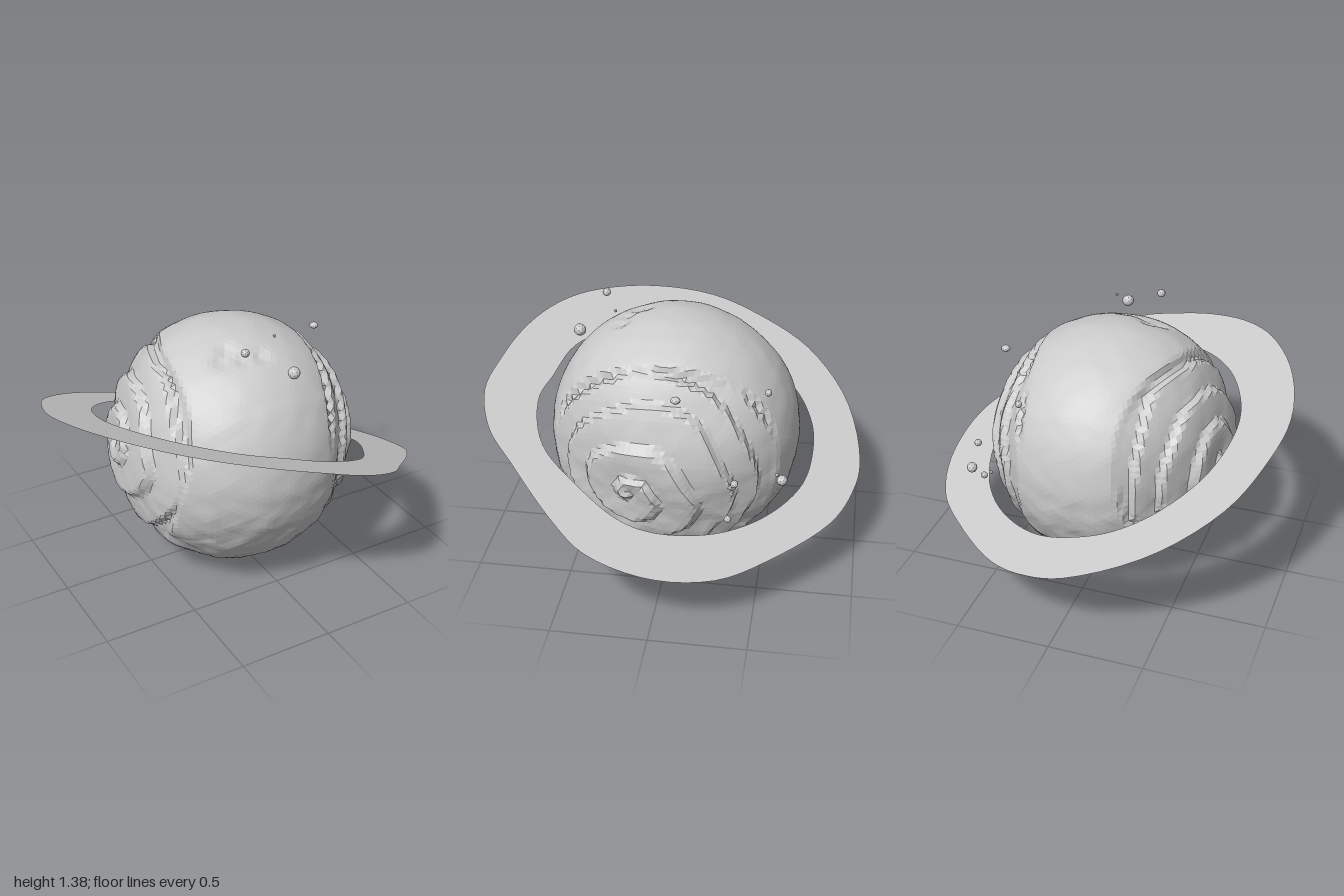
import * as THREE from 'three';
import { mergeVertices } from 'three/addons/utils/BufferGeometryUtils.js';

const stone = () => new THREE.MeshStandardMaterial({ color: 0xcccccc, flatShading: true });
const V = (x, y, z) => new THREE.Vector3(x, y, z);

// Smooth rock noise made from crossed sine waves, about -1..1
function noise(d, f) {
  return (Math.sin(f * d.x + 2.1 * Math.sin(f * 0.7 * d.y + 1)) +
    Math.sin(f * d.y * 1.1 + 1.7 * Math.sin(f * 0.8 * d.z + 2)) +
    Math.sin(f * d.z * 0.9 + 1.9 * Math.sin(f * 0.6 * d.x + 4))) / 3;
}

// A spiral of overlapping rock layers around an axis
function makeSwirl(axis, edge, sway, turn) {
  axis.normalize();
  const u = V(0, 1, 0).cross(axis).normalize();
  const v = axis.clone().cross(u);
  return d => {
    const theta = Math.acos(THREE.MathUtils.clamp(d.dot(axis), -1, 1));
    const az = Math.atan2(d.dot(v), d.dot(u));
    const limit = edge + sway * d.z + 0.05 * Math.sin(3 * az);
    const inside = 1 - THREE.MathUtils.smoothstep(theta, limit - 0.05, limit + 0.02);
    const p = theta / 0.27 + turn * az / (2 * Math.PI) + 0.3 * noise(d, 5);
    const f = p - Math.floor(p);
    const layer = f < 0.8 ? f / 0.8 : (1 - f) / 0.2;
    return inside * (0.032 * layer - 0.034);
  };
}

const swirls = [
  makeSwirl(V(0.63, -0.06, 0.15), 1.1, -0.22, 1),
  makeSwirl(V(-0.62, 0.06, -0.1), 0.95, -0.12, -1),
];
const pits = [[-0.18, 0.24], [-0.08, 0.27], [0.02, 0.29], [-0.12, 0.18]]
  .map(([x, z]) => V(x, 0.6, z).normalize());
const foot = V(0, -1, 0.12).normalize();

function planetRadius(d) {
  let r = 0.662 + 0.005 * noise(d, 4);
  for (const swirl of swirls) r += swirl(d);
  // Rougher ground towards the bottom
  const rough = THREE.MathUtils.smoothstep(-d.y, -0.3, 0.7);
  r += rough * (0.009 * noise(d, 14) + 0.005 * noise(d, 31)) + 0.002 * noise(d, 23);
  // Broken hollows near the top
  for (const p of pits) r -= 0.025 * Math.exp(-((d.distanceTo(p) / 0.07) ** 2));
  // Small point underneath
  r += 0.018 * Math.exp(-((d.distanceTo(foot) / 0.12) ** 2));
  return r;
}

function createPlanet() {
  let geo = new THREE.IcosahedronGeometry(1, 24);
  geo.deleteAttribute('normal');
  geo.deleteAttribute('uv');
  geo = mergeVertices(geo, 1e-4);
  const pos = geo.attributes.position;
  const d = V(0, 0, 0);
  for (let i = 0; i < pos.count; i++) {
    d.fromBufferAttribute(pos, i).normalize();
    d.multiplyScalar(planetRadius(d.clone()));
    pos.setXYZ(i, d.x, d.y, d.z);
  }
  geo.translate(-0.01, 0, 0);
  geo.computeBoundingBox();
  geo.translate(0, -geo.boundingBox.min.y, 0);
  geo = geo.toNonIndexed();
  geo.computeVertexNormals();
  const planet = new THREE.Mesh(geo, stone());
  planet.name = 'planet';
  return planet;
}

// Uneven ring outlines as [x, z], seen from above
const ringOuter = [
  [-0.09, -1], [0.14, -0.96], [0.35, -0.86], [0.66, -0.58], [0.87, -0.32], [0.97, 0],
  [0.94, 0.32], [0.82, 0.5], [0.56, 0.77], [0.4, 0.92], [0.17, 1], [-0.05, 0.97],
  [-0.3, 0.9], [-0.53, 0.78], [-0.71, 0.61], [-0.89, 0.29], [-0.97, -0.08],
  [-0.92, -0.37], [-0.79, -0.66], [-0.5, -0.9],
];
const ringInner = [
  [-0.08, -0.74], [0.16, -0.7], [0.42, -0.53], [0.61, -0.29], [0.71, 0], [0.7, 0.19],
  [0.58, 0.42], [0.4, 0.64], [0.13, 0.72], [-0.05, 0.68], [-0.29, 0.61], [-0.52, 0.4],
  [-0.66, 0.13], [-0.7, -0.1], [-0.63, -0.4], [-0.45, -0.62], [-0.26, -0.72],
];

function smoothLoop(points) {
  const curve = new THREE.CatmullRomCurve3(points.map(([x, z]) => V(x, -z, 0)), true);
  return curve.getPoints(90).slice(0, -1).map(p => new THREE.Vector2(p.x, p.y));
}

function createRing() {
  const shape = new THREE.Shape(smoothLoop(ringOuter));
  shape.holes.push(new THREE.Path(smoothLoop(ringInner)));
  const geo = new THREE.ShapeGeometry(shape);
  geo.rotateX(-Math.PI / 2);
  // Lean the flat ring sideways and backwards
  const pos = geo.attributes.position;
  for (let i = 0; i < pos.count; i++) {
    pos.setY(i, 0.69 - 0.34 * pos.getX(i) + 0.265 * pos.getZ(i));
  }
  geo.computeVertexNormals();
  const material = stone();
  material.side = THREE.DoubleSide;
  const ring = new THREE.Mesh(geo, material);
  ring.name = 'ring';
  return ring;
}

// Floating pebbles: x, y, z, radius, height factor
const pebbles = [
  [-0.14, 1.36, 0.39, 0.022, 1], [0.08, 1.24, 0.49, 0.032, 1], [0.08, 1.36, 0.3, 0.008, 1],
  [0.57, 1.14, -0.08, 0.025, 0.7], [0.32, 1.08, -0.51, 0.019, 1], [0.55, 0.72, -0.61, 0.027, 1],
  [0.46, 0.69, -0.58, 0.01, 1], [0.62, 0.72, -0.38, 0.02, 1], [0.61, 0.5, -0.35, 0.019, 1],
];

function createPebbles() {
  const group = new THREE.Group();
  group.name = 'pebbles';
  const geo = new THREE.IcosahedronGeometry(1, 1);
  pebbles.forEach(([x, y, z, r, h], i) => {
    const pebble = new THREE.Mesh(geo, stone());
    pebble.name = 'pebble' + (i + 1);
    pebble.position.set(x, y, z);
    pebble.rotation.y = i;
    pebble.scale.set(r, r * h, r);
    group.add(pebble);
  });
  return group;
}

export function createModel() {
  const model = new THREE.Group();
  model.name = 'ringedPlanet';
  model.add(createPlanet(), createRing(), createPebbles());
  return model;
}
